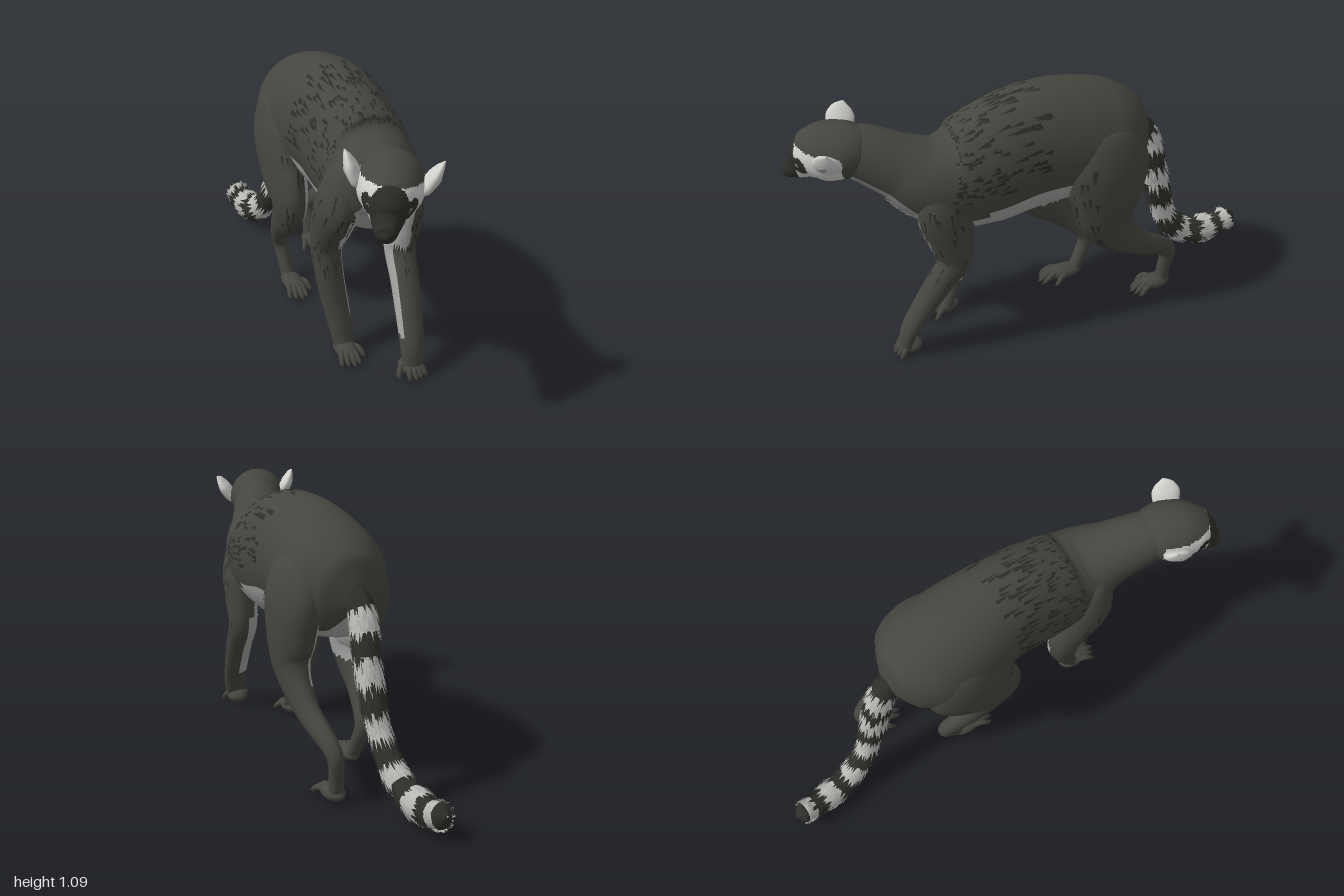
import * as THREE from 'three';

const paint = (name, color) => {
  const m = new THREE.MeshStandardMaterial({ color, side: THREE.DoubleSide });
  m.name = name;
  return m;
};

export function createModel() {
  const fur = paint('charcoal fur', 0x45463f);
  const dark = paint('black fur', 0x2d2d29);
  const grey = paint('throat grey', 0x8e8e8d);
  const pale = paint('pale belly', 0xa3a3a1);
  const ring = paint('tail ring grey', 0xb6b6b3);
  const white = paint('white face', 0xcfcfcc);
  const root = new THREE.Group();
  root.name = 'ringTailedAnimal';

  let seed = 7;
  const rand = () => (seed = (seed * 16807) % 2147483647) / 2147483647;

  function add(parent, name, geometry, material) {
    const mesh = new THREE.Mesh(geometry, material);
    mesh.name = name;
    parent.add(mesh);
    return mesh;
  }

  // Smooth tube through sections [x, y, z, half width, half depth]
  function surface(sections) {
    const path = new THREE.CatmullRomCurve3(sections.map(s => new THREE.Vector3(s[0], s[1], s[2])));
    const size = new THREE.CatmullRomCurve3(sections.map(s => new THREE.Vector3(s[3], s[4], 0)));
    return (t, a) => {
      t = Math.min(1, Math.max(0, t));
      const c = path.getPoint(t), r = size.getPoint(t), T = path.getTangent(t);
      const X = new THREE.Vector3(1, 0, 0).addScaledVector(T, -T.x).normalize();
      const Y = T.clone().cross(X);
      return c.addScaledVector(X, Math.cos(a) * Math.max(r.x, 0.001))
        .addScaledVector(Y, Math.sin(a) * Math.max(r.y, 0.001));
    };
  }

  // Loft whose faces are coloured by pick(point, angle, t)
  function loft(parent, name, sections, pick, nt = 36, na = 28) {
    const P = surface(sections), pos = [], lists = new Map();
    for (let i = 0; i <= nt; i++)
      for (let j = 0; j < na; j++) pos.push(...P(i / nt, j / na * Math.PI * 2).toArray());
    for (let i = 0; i < nt; i++)
      for (let j = 0; j < na; j++) {
        const t = (i + 0.5) / nt, a = (j + 0.5) / na * Math.PI * 2;
        const m = pick(P(t, a), a, t);
        if (!lists.has(m)) lists.set(m, []);
        const k = (j + 1) % na, A = i * na + j, B = i * na + k;
        lists.get(m).push(A, B, B + na, A, B + na, A + na);
      }
    const g = new THREE.BufferGeometry(), index = [];
    g.setAttribute('position', new THREE.Float32BufferAttribute(pos, 3));
    [...lists.values()].forEach((list, n) => {
      g.addGroup(index.length, list.length, n);
      for (const v of list) index.push(v);
    });
    g.setIndex(index);
    g.computeVertexNormals();
    add(parent, name, g, [...lists.keys()]);
    return P;
  }

  // Pointed locks of fur lying along a surface; pick returns a material or null
  function tufts(name, P, count, t0, t1, dt, da, lift, pick) {
    const lists = new Map();
    for (let n = 0; n < count; n++) {
      const t = t0 + (t1 - t0) * rand(), a = rand() * Math.PI * 2;
      const p = P(t, a), m = pick(p, a, t);
      if (!m) continue;
      const out = p.clone().sub(P(t, a + Math.PI)).normalize();
      const tip = P(t + dt * (0.6 + rand() * 0.6), a + (rand() - 0.5) * da).addScaledVector(out, lift);
      if (!lists.has(m)) lists.set(m, []);
      for (const v of [P(t, a - da / 2), P(t, a + da / 2), tip])
        lists.get(m).push(...v.addScaledVector(out, 0.002).toArray());
    }
    for (const [m, list] of lists) {
      const g = new THREE.BufferGeometry();
      g.setAttribute('position', new THREE.Float32BufferAttribute(list, 3));
      g.computeVertexNormals();
      add(root, name, g, m);
    }
  }

  // Torso and neck, rump to head
  const torso = loft(root, 'torso', [
    [0, 0.76, -0.45, 0.005, 0.005], [0.005, 0.77, -0.38, 0.145, 0.165], [0.01, 0.795, -0.25, 0.213, 0.23],
    [0.01, 0.82, -0.08, 0.21, 0.257], [0.015, 0.82, 0.1, 0.193, 0.27], [0.015, 0.785, 0.26, 0.19, 0.257],
    [0.01, 0.765, 0.4, 0.18, 0.218], [0, 0.79, 0.5, 0.158, 0.168], [-0.03, 0.848, 0.6, 0.122, 0.13],
    [-0.08, 0.92, 0.74, 0.1, 0.107], [-0.1, 0.935, 0.82, 0.06, 0.06]
  ], (p, a) => {
    const s = Math.sin(a);
    if (p.z > 0.43) return s > -0.65 ? fur : p.y < 0.69 ? pale : grey;
    return s < (p.z > 0.3 ? -0.55 : p.z > -0.2 ? -0.4 : -0.72) ? pale : fur;
  }, 72, 44);
  tufts('backFur', torso, 480, 0.36, 0.62, 0.03, 0.07, 0.003,
    (p, a) => Math.sin(a) > -0.1 ? dark : null);
  tufts('chestFur', torso, 150, 0.65, 0.78, 0.03, 0.12, 0.008,
    (p, a) => Math.sin(a) > -0.7 ? null : p.y < 0.69 ? pale : grey);

  // Ringed tail
  const band = (p, a, t) => t > 0.1 && t < 0.9 && ((t - 0.1) / 0.14) % 1 < 0.47 ? ring : dark;
  const tail = loft(root, 'tail', [
    [0.01, 0.86, -0.36, 0.03], [0, 0.72, -0.46, 0.049], [0, 0.56, -0.505, 0.048],
    [-0.01, 0.38, -0.55, 0.046], [-0.03, 0.21, -0.62, 0.046], [-0.05, 0.11, -0.73, 0.047],
    [-0.067, 0.085, -0.86, 0.047], [-0.074, 0.105, -0.955, 0.044], [-0.076, 0.118, -0.99, 0.003]
  ].map(s => [...s, s[3] * 1.12]), band, 76, 20);
  tufts('tailFur', tail, 1500, 0.05, 0.88, 0.04, 0.28, 0.01, band);

  // Legs: a mirrored profile [x, half width, half depth] along a path [y, z]
  function leg(name, side, shift, profile, path, inner, locks) {
    const sections = profile.map(([x, w, d], i) => [side * x + shift, ...path[i], w, d]);
    const inward = a => -side * Math.cos(a);
    const P = loft(root, name, sections, (p, a) => inner(p, inward(a), Math.sin(a)) ? pale : fur, 48);
    tufts(name + 'Fur', P, 110, 0.18, 0.6, 0.05, 0.12, 0.004,
      (p, a) => locks(Math.sin(a)) && inward(a) < 0.4 ? dark : null);
    return [P, inward];
  }

  const hindProfile = [
    [0.09, 0.01, 0.02], [0.13, 0.08, 0.13], [0.155, 0.093, 0.178], [0.162, 0.086, 0.158],
    [0.165, 0.07, 0.125], [0.163, 0.054, 0.092], [0.156, 0.044, 0.058],
    [0.128, 0.033, 0.037], [0.118, 0.029, 0.029], [0.113, 0.03, 0.027]
  ];
  const hindInner = (p, inward) => p.y > 0.42 && p.y < 0.74 && inward > 0.4;
  const hindLocks = front => front > 0.45;
  leg('leftHindLeg', 1, 0.012, hindProfile, [
    [0.94, -0.2], [0.87, -0.2], [0.74, -0.205], [0.62, -0.2], [0.5, -0.2],
    [0.41, -0.25], [0.32, -0.35], [0.205, -0.52], [0.11, -0.515], [0.03, -0.505]
  ], hindInner, hindLocks);
  leg('rightHindLeg', -1, 0.012, hindProfile, [
    [0.94, -0.18], [0.87, -0.18], [0.74, -0.16], [0.61, -0.1], [0.5, -0.04],
    [0.41, -0.07], [0.32, -0.15], [0.19, -0.255], [0.1, -0.225], [0.03, -0.19]
  ], hindInner, hindLocks);

  const foreProfile = [
    [0.07, 0.01, 0.02], [0.1, 0.06, 0.085], [0.125, 0.073, 0.112], [0.132, 0.066, 0.09],
    [0.13, 0.06, 0.066], [0.122, 0.057, 0.054], [0.108, 0.053, 0.043],
    [0.096, 0.048, 0.034], [0.09, 0.04, 0.027]
  ];
  const forePaths = {
    left: [[0.88, 0.44], [0.81, 0.46], [0.68, 0.46], [0.56, 0.445], [0.45, 0.435],
      [0.35, 0.5], [0.22, 0.58], [0.12, 0.635], [0.05, 0.655]],
    right: [[0.88, 0.42], [0.81, 0.44], [0.68, 0.42], [0.56, 0.35], [0.46, 0.315],
      [0.34, 0.33], [0.22, 0.355], [0.12, 0.385], [0.04, 0.41]]
  };
  for (const [key, path] of Object.entries(forePaths)) {
    const [P, inward] = leg(key + 'Foreleg', key === 'left' ? 1 : -1, -0.008, foreProfile, path,
      (p, inw, front) => p.y > 0.17 && p.y < 0.68 && inw - (p.y > 0.5 ? 0 : 0.5) * front > 0.45,
      front => front > -0.3);
    tufts(key + 'ChestLocks', P, 320, 0.22, 0.42, 0.09, 0.22, 0.012,
      (p, a) => inward(a) > 0.1 && Math.sin(a) > -0.2 ? pale : null);
  }

  // Paws: flat palm, fanned digits and dark claws
  function paw(name, x, z, length, side) {
    const g = new THREE.Group();
    g.name = name;
    g.position.set(x, 0, z);
    root.add(g);
    const palm = add(g, 'palm', new THREE.SphereGeometry(1, 18, 12), fur);
    palm.scale.set(0.044, 0.03, length * 0.4);
    palm.position.set(0, 0.034, length * 0.34);
    for (let i = -2; i <= 2; i++) {
      const thumb = i * side === -2;
      const reach = length * (thumb ? 0.68 : 0.97 - Math.abs(i) * 0.06);
      const spread = i * 0.023 * (thumb ? 1.25 : 1);
      loft(g, 'digit', [
        [i * 0.012, 0.035, length * 0.3, 0.01, 0.012], [spread * 0.8, 0.04, reach * 0.72, 0.012, 0.013],
        [spread, 0.017, reach * 0.93, 0.009, 0.009], [spread, 0.012, reach, 0.002, 0.002]
      ], () => fur, 10, 10);
      const claw = add(g, 'claw', new THREE.ConeGeometry(0.005, 0.025, 6), dark);
      claw.position.set(spread, 0.012, reach);
      claw.rotation.x = 1.9;
    }
  }
  paw('leftHindPaw', 0.125, -0.535, 0.18, 1);
  paw('rightHindPaw', -0.1, -0.215, 0.2, -1);
  paw('leftHand', 0.078, 0.59, 0.12, 1);
  paw('rightHand', -0.1, 0.365, 0.17, -1);

  // Head, turned and tipped toward its right
  const head = new THREE.Group();
  head.name = 'head';
  head.position.set(-0.1, 0.93, 0.8);
  head.rotation.set(0, -0.47, -0.1);
  root.add(head);
  // Black muzzle and eye patches, white face, charcoal crown
  const skull = loft(head, 'skull', [
    [0, -0.14, 0.01, 0.01], [0, -0.1, 0.085, 0.085], [0, -0.03, 0.116, 0.108],
    [-0.007, 0.04, 0.117, 0.116], [-0.022, 0.09, 0.103, 0.106], [-0.045, 0.125, 0.08, 0.089],
    [-0.073, 0.157, 0.056, 0.061], [-0.09, 0.187, 0.043, 0.044], [-0.098, 0.212, 0.034, 0.034],
    [-0.1, 0.228, 0.003, 0.003]
  ].map(s => [0, ...s]), p => {
    const eye = Math.hypot(Math.abs(p.x) - 0.07, (p.y + 0.024) * 0.85, p.z - 0.13) < 0.034;
    if (eye || p.z > 0.155) return dark;
    if (p.z < -0.03) return fur;
    return p.y > 0.035 + p.z * 0.1 ? fur : white;
  }, 90, 72);
  for (const s of [-1, 1]) {
    const eyeball = (name, r, lift, m) => {
      const ball = add(head, name, new THREE.SphereGeometry(r, 14, 10), m);
      ball.position.copy(skull(0.572, s > 0 ? 0.35 : Math.PI - 0.35)).add(new THREE.Vector3(s * lift, 0, lift));
    };
    eyeball('eye', 0.01, -0.003, grey);
    eyeball('pupil', 0.007, 0.001, dark);
    // Broad upright ear with a shaded hollow
    loft(head, 'ear', [
      [s * 0.09, -0.025, 0.015, 0.012, 0.025], [s * 0.118, 0.005, 0.015, 0.026, 0.052],
      [s * 0.142, 0.045, 0.012, 0.025, 0.056], [s * 0.16, 0.08, 0.006, 0.014, 0.038],
      [s * 0.172, 0.1, 0, 0.002, 0.004]
    ], () => white, 20, 20);
    const hollow = add(head, 'earHollow', new THREE.SphereGeometry(1, 14, 10), pale);
    hollow.scale.set(0.008, 0.03, 0.024);
    hollow.position.set(s * 0.15, 0.022, 0.022);
    hollow.rotation.z = -s * 0.6;
  }
  return root;
}
